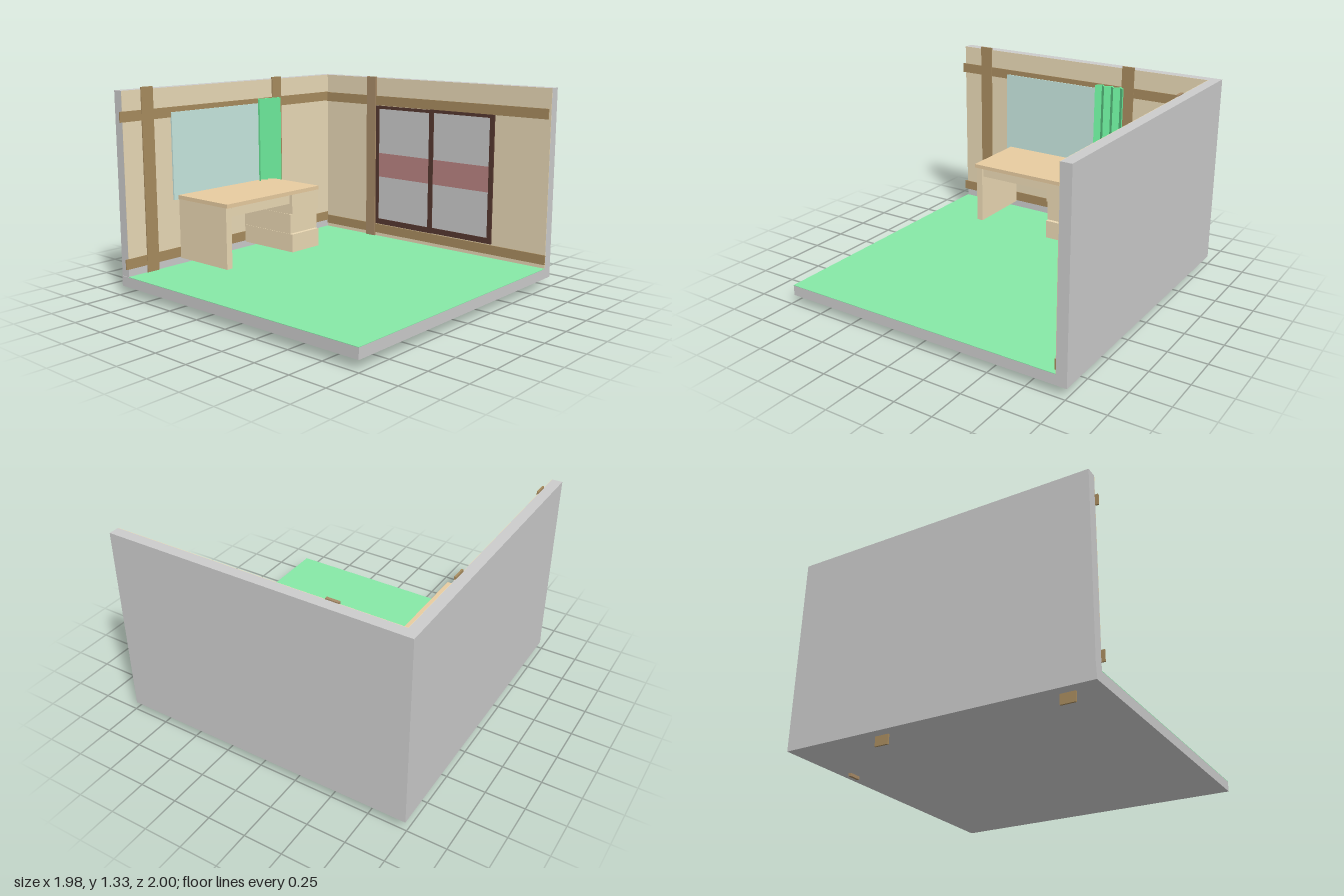
import * as THREE from 'three';

const mat = (color) => new THREE.MeshStandardMaterial({ color, flatShading: true });
const M = {
  grey: mat(0xcccccc), floor: mat(0x86e9a7), wall: mat(0xe9d9b6),
  beam: mat(0xa88c5f), post: mat(0xa98c68), frame: mat(0x56382f),
  stripe: mat(0xba8482), deskTop: mat(0xe8cca0), desk: mat(0xebd9b4),
  glass: mat(0xc8e8e0), curtain: mat(0x6be99a),
};

// Box given by its minimum and maximum along each axis
function box(parent, name, material, [x0, x1], [y0, y1], [z0, z1]) {
  const mesh = new THREE.Mesh(new THREE.BoxGeometry(x1 - x0, y1 - y0, z1 - z0), material);
  mesh.position.set((x0 + x1) / 2, (y0 + y1) / 2, (z0 + z1) / 2);
  mesh.name = name;
  parent.add(mesh);
  return mesh;
}

function group(parent, name) {
  const g = new THREE.Group();
  g.name = name;
  parent.add(g);
  return g;
}

// Sliding window panel: four frame bars, pane and a coloured band
function slidingPanel(parent, name, x0, x1, y0, y1, z, barL, barR) {
  const g = group(parent, name);
  const zr = [z - 0.012, z];
  box(g, 'frameLeft', M.frame, [x0, x0 + barL], [y0, y1], zr);
  box(g, 'frameRight', M.frame, [x1 - barR, x1], [y0, y1], zr);
  box(g, 'frameBottom', M.frame, [x0 + barL, x1 - barR], [y0, y0 + 0.04], zr);
  box(g, 'frameTop', M.frame, [x0 + barL, x1 - barR], [y1 - 0.022, y1], zr);
  box(g, 'pane', M.grey, [x0 + barL, x1 - barR], [y0 + 0.04, y1 - 0.022], [z - 0.012, z - 0.005]);
  box(g, 'band', M.stripe, [x0 + barL, x1 - barR], [0.585, 0.762], [z - 0.012, z - 0.003]);
}

// Folded curtain: zigzag strip with thickness, extruded downwards
function curtain(parent) {
  const n = 6, z0 = -0.355, z1 = -0.145, front = [], back = [];
  for (let i = 0; i <= n; i++) {
    const z = z0 + ((z1 - z0) * i) / n;
    const x = i % 2 ? -0.908 : -0.872;
    front.push(new THREE.Vector2(x + 0.008, -z));
    back.unshift(new THREE.Vector2(x - 0.008, -z));
  }
  const geo = new THREE.ExtrudeGeometry(new THREE.Shape([...front, ...back]),
    { depth: 0.67, bevelEnabled: false });
  geo.rotateX(-Math.PI / 2);
  const mesh = new THREE.Mesh(geo, M.curtain);
  mesh.position.y = 0.515;
  mesh.name = 'curtain';
  parent.add(mesh);
}

export function createModel() {
  const model = new THREE.Group();
  model.name = 'room';

  // Shell: slab and two outer walls
  const shell = group(model, 'shell');
  box(shell, 'floorSlab', M.grey, [-0.99, 0.985], [0.06, 0.127], [-1, 0.983]);
  box(shell, 'sideWall', M.grey, [-0.99, -0.922], [0.127, 1.315], [-1, 0.98]);
  box(shell, 'backWall', M.grey, [-0.922, 0.985], [0.127, 1.315], [-1, -0.932]);

  // Coloured coverings
  box(shell, 'floorCovering', M.floor, [-0.922, 0.985], [0.127, 0.13], [-0.932, 0.983]);
  box(shell, 'sideWallCovering', M.wall, [-0.922, -0.92], [0.18, 1.315], [-0.932, 0.98]);
  box(shell, 'backWallCovering', M.wall, [-0.922, 0.985], [0.13, 1.315], [-0.932, -0.929]);

  // Timber on the back wall
  const timber = group(model, 'timber');
  box(timber, 'backTopBeam', M.beam, [-0.92, 0.97], [1.115, 1.183], [-0.932, -0.922]);
  box(timber, 'backBottomBeam', M.beam, [-0.92, 0.985], [0.155, 0.22], [-0.932, -0.922]);
  box(timber, 'backPost', M.post, [-0.52, -0.438], [0.04, 1.322], [-0.932, -0.914]);

  // Timber on the side wall
  box(timber, 'sideTopBeam', M.beam, [-0.924, -0.915], [1.12, 1.187], [-0.925, 1]);
  box(timber, 'sideBottomBeam', M.beam, [-0.924, -0.915], [0.18, 0.247], [-0.925, 1]);
  for (const [z0, z1] of [[0.743, 0.835], [-0.412, -0.322]])
    box(timber, 'sidePost', M.beam, [-0.924, -0.913], [0, 1.33], [z0, z1]);

  // Sliding window on the back wall
  const win = group(model, 'slidingWindow');
  slidingPanel(win, 'rearPanel', -0.436, 0.08, 0.225, 1.112, -0.92, 0.028, 0.038);
  slidingPanel(win, 'frontPanel', 0.045, 0.575, 0.228, 1.116, -0.916, 0.038, 0.033);

  // Side window and its curtain
  box(model, 'sideWindow', M.glass, [-0.922, -0.909], [0.573, 1.153], [-0.3, 0.604]);
  curtain(model);

  // Desk
  const desk = group(model, 'desk');
  box(desk, 'top', M.deskTop, [-0.91, -0.435], [0.577, 0.603], [-0.285, 0.57]);
  box(desk, 'sidePanel', M.desk, [-0.908, -0.452], [0.175, 0.577], [0.52, 0.565]);
  box(desk, 'centreDrawer', M.desk, [-0.908, -0.46], [0.512, 0.577], [-0.02, 0.512]);
  box(desk, 'pedestal', M.desk, [-0.908, -0.465], [0.18, 0.577], [-0.28, -0.025]);
  const drawers = [[0.443, 0.577, -0.438], [0.305, 0.438, -0.455], [0.175, 0.3, -0.438]];
  for (const [y0, y1, x] of drawers)
    box(desk, 'drawer', M.desk, [-0.9, x], [y0, y1], [-0.283, -0.022]);

  return model;
}
